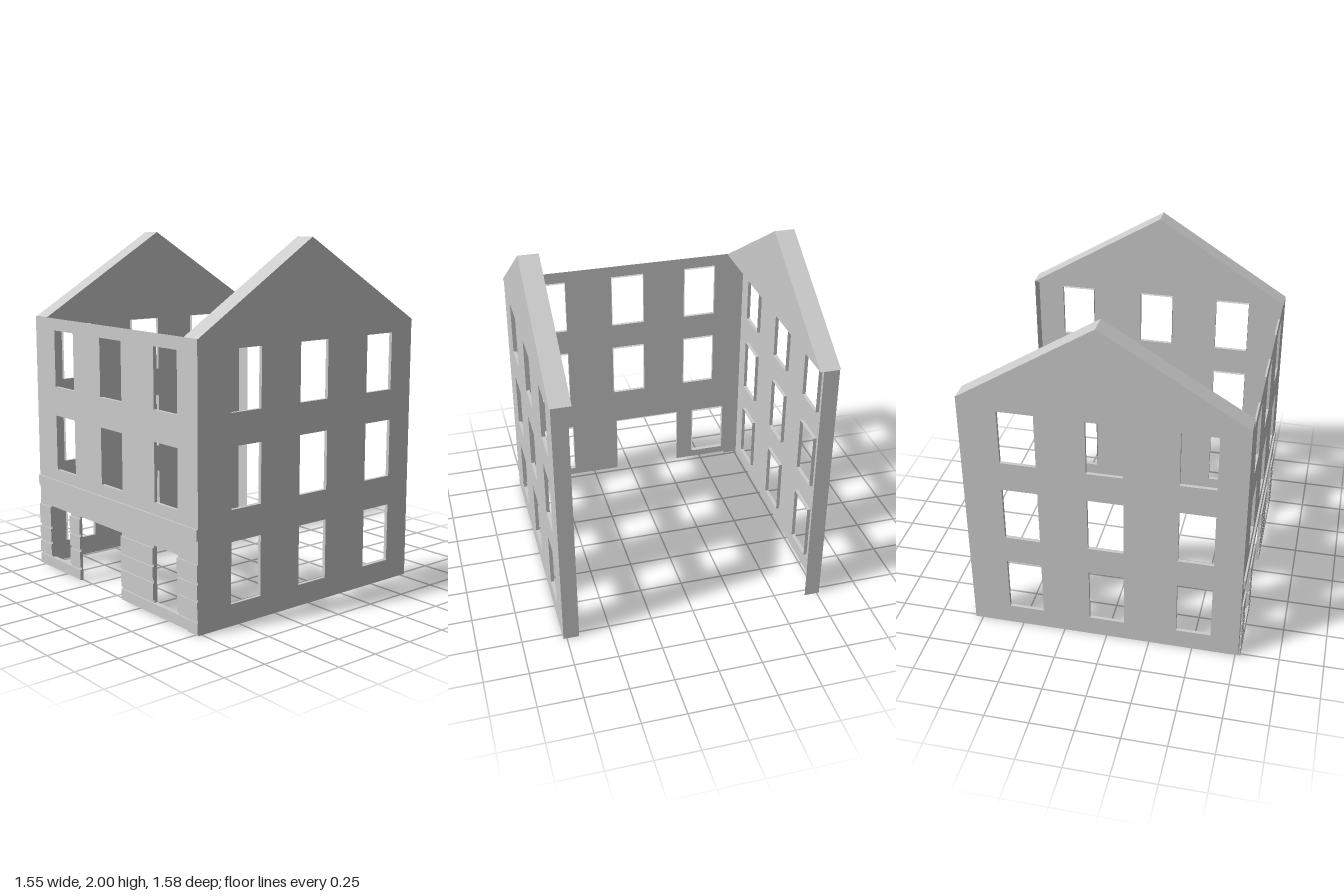
import * as THREE from 'three';

const grey = new THREE.MeshStandardMaterial({ color: 0xcccccc, flatShading: true, side: THREE.DoubleSide });

function add(parent, name, geometry, x = 0, y = 0, z = 0) {
  const mesh = new THREE.Mesh(geometry, grey);
  mesh.name = name;
  mesh.position.set(x, y, z);
  parent.add(mesh);
  return mesh;
}

// Box given by its two opposite corners
function slab(parent, name, x0, x1, y0, y1, z0, z1) {
  return add(parent, name, new THREE.BoxGeometry(x1 - x0, y1 - y0, z1 - z0),
    (x0 + x1) / 2, (y0 + y1) / 2, (z0 + z1) / 2);
}

const outline = pts => pts.map(([x, y]) => new THREE.Vector2(x, y));

// Thin sheet in the xy plane with rectangular openings [x0, x1, y0, y1]
function sheet(parent, name, points, openings) {
  const shape = new THREE.Shape(outline(points));
  for (const [x0, x1, y0, y1] of openings) {
    shape.holes.push(new THREE.Path(outline([[x0, y0], [x0, y1], [x1, y1], [x1, y0]])));
  }
  add(parent, name, new THREE.ShapeGeometry(shape));
  for (const o of openings) reveal(parent, 'windowReveal', o, 4);
}

// Open lining behind an opening; three sides leave out the sill
function reveal(parent, name, [x0, x1, y0, y1], sides, depth = 0.02) {
  const r = Math.SQRT1_2;
  const g = new THREE.CylinderGeometry(r, r, 1, sides, 1, true, Math.PI / 4, sides * Math.PI / 2);
  g.rotateX(Math.PI / 2);
  g.scale(x1 - x0, y1 - y0, depth);
  add(parent, name, g, (x0 + x1) / 2, (y0 + y1) / 2, -depth / 2);
}

const grid = (columns, rows) => rows.flatMap(r => columns.map(c => [...c, ...r]));

// Side wall with windows, inward returns at both ends and a solid gable
function sideWall(name) {
  const wall = new THREE.Group();
  wall.name = name;
  const back = -0.785, front = 0.775, outer = 0.77, top = 1.52, returnWidth = 0.09;

  const face = new THREE.Group();
  face.name = 'windowedFace';
  face.rotation.y = Math.PI / 2;
  face.position.x = outer;
  wall.add(face);
  sheet(face, 'wallSheet',
    [[-front, 0], [-back, 0], [-back, top], [-front, top]],
    grid([[-0.557, -0.355], [-0.08, 0.122], [0.424, 0.623]],
      [[0.12, 0.455], [0.625, 0.955], [1.13, 1.455]]));

  for (const z of [back, front]) {
    add(wall, 'cornerReturn', new THREE.PlaneGeometry(returnWidth, top), outer - returnWidth / 2, top / 2, z);
  }

  const triangle = new THREE.Shape(outline([[-front, top], [-back, top], [-0.012, 2]]));
  const gable = add(wall, 'gable',
    new THREE.ExtrudeGeometry(triangle, { depth: 0.115, bevelEnabled: false }), 0.66, 0, 0);
  gable.rotation.y = Math.PI / 2;
  return wall;
}

function frontWall() {
  const wall = new THREE.Group();
  wall.name = 'frontWall';
  wall.position.z = 0.772;
  const L = -0.775, R = 0.77, base = 0.01, seam = 0.62, top = 1.52;
  const doorL = -0.33, doorR = 0.09, head = 0.39;

  // Upper storeys
  sheet(wall, 'upperFacade', [[L, seam], [R, seam], [R, top], [L, top]],
    grid([[-0.57, -0.37], [-0.1, 0.105], [0.4, 0.6]], [[0.625, 0.95], [1.12, 1.45]]));

  // Ground storey with a wide entrance
  sheet(wall, 'lowerFacade',
    [[L, base], [doorL, base], [doorL, head], [doorR, head], [doorR, base], [R, base], [R, seam], [L, seam]],
    [[-0.65, -0.437, 0.07, head - 0.002], [0.388, 0.6, 0.07, head - 0.002]]);
  reveal(wall, 'entranceReveal', [doorL, doorR, base, head], 3, 0.01);

  // Cornice band and plinths
  slab(wall, 'corniceBand', L + 0.003, R, 0.5, 0.56, 0, 0.011);
  slab(wall, 'plinth', L, doorL, base, 0.07, 0, 0.009);
  slab(wall, 'plinth', doorR, R, base, 0.07, 0, 0.009);

  // Stone courses on the piers
  const courses = [[0.085, 0.18], [0.195, 0.27], [0.285, 0.375]];
  const endCourses = [[0.08, 0.15], [0.165, 0.245], [0.26, 0.38]];
  const piers = [[L, -0.65, endCourses], [-0.437, doorL, courses], [doorR, 0.388, courses], [0.6, R, courses]];
  for (const [x0, x1, rows] of piers) {
    for (const [y0, y1] of rows) slab(wall, 'stoneCourse', x0, x1, y0, y1, 0, 0.009);
  }
  return wall;
}

export function createModel() {
  const model = new THREE.Group();
  model.name = 'buildingShell';
  model.add(frontWall(), sideWall('leftWall'));
  // Same wall turned half a revolution
  const right = sideWall('rightWall');
  right.rotation.y = Math.PI;
  right.position.set(0.005, 0, -0.018);
  model.add(right);
  return model;
}
